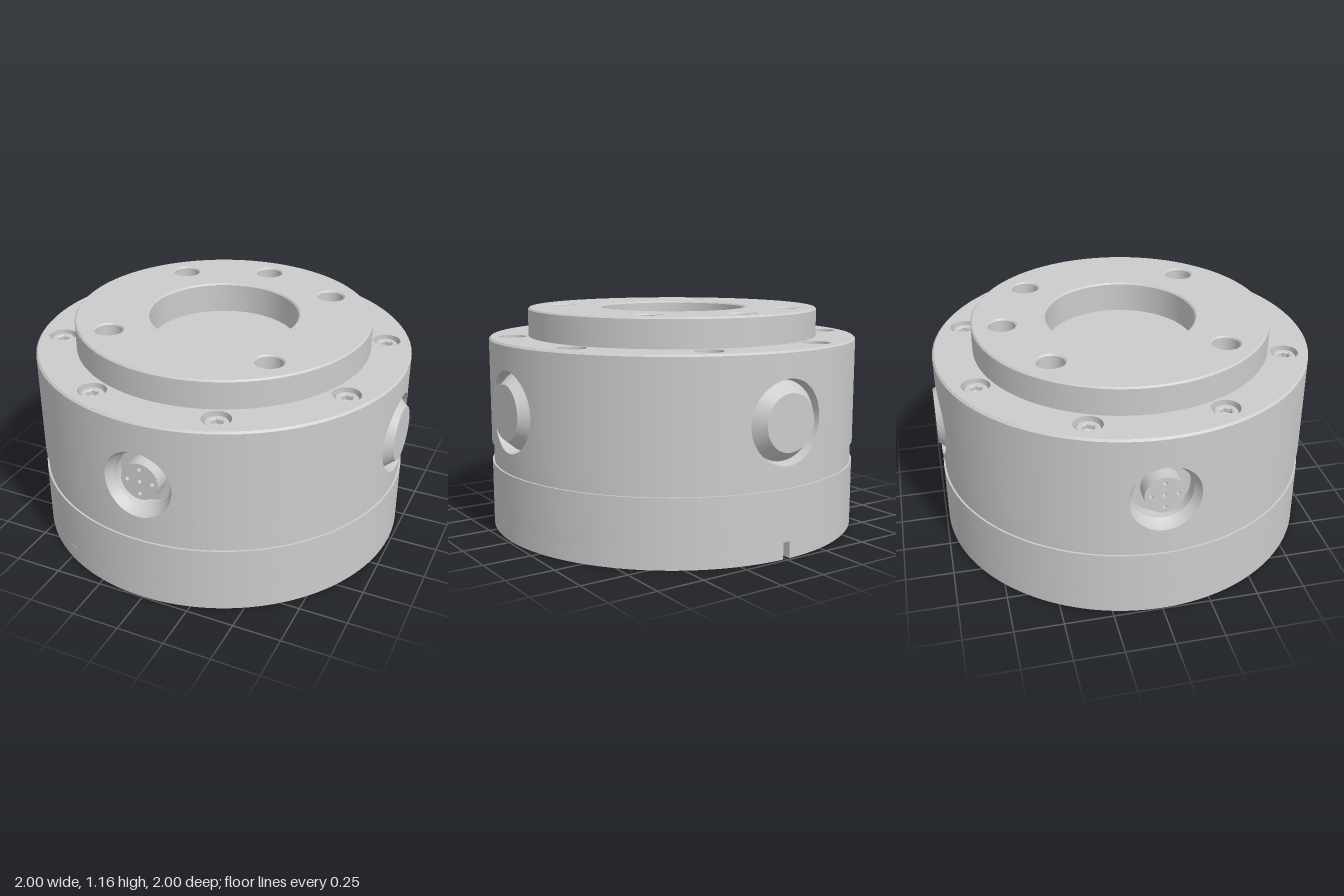
import * as THREE from 'three';
import { toCreasedNormals } from 'three/addons/utils/BufferGeometryUtils.js';

const R = 0.99, WALL_LOW = 0.455, WALL_TOP = 1.005, PORT_Y = 0.672, PATCH = 0.3;
const material = new THREE.MeshStandardMaterial({ color: 0xcccccc });

function mesh(name, geometry, crease = 0.4) {
  const m = new THREE.Mesh(toCreasedNormals(geometry, crease), material);
  m.name = name;
  return m;
}

function lathe(points, segments = 96) {
  return new THREE.LatheGeometry(points.map(([r, y]) => new THREE.Vector2(r, y)), segments);
}

function circle(r, x = 0, y = 0, Type = THREE.Path) {
  return new Type().absarc(x, y, r, 0, Math.PI * 2, false);
}

// Extrude a flat outline upwards, from height y0 to y1
function slab(shape, y0, y1, bevel, curveSegments) {
  const g = new THREE.ExtrudeGeometry(shape, {
    depth: y1 - y0 - 2 * bevel, curveSegments, bevelEnabled: bevel > 0,
    bevelSize: bevel, bevelThickness: bevel, bevelSegments: 1,
  });
  return g.rotateX(-Math.PI / 2).translate(0, y0 + bevel, 0);
}

// Skin a surface over closed rows of points
function loft(rows) {
  const n = rows[0].length, index = [];
  for (let i = 0; i < rows.length - 1; i++) {
    for (let j = 0; j < n; j++) {
      const k = (j + 1) % n, a = i * n + j, b = i * n + k;
      index.push(a, b, a + n, b, b + n, a + n);
    }
  }
  const g = new THREE.BufferGeometry();
  g.setAttribute('position', new THREE.Float32BufferAttribute(rows.flat(2), 3));
  g.setIndex(index);
  return g;
}

// Piece of curved wall with a round bore; profile lists [radius, z] down the bore
function portWall(holeR, profile) {
  const up = WALL_TOP - PORT_Y, down = WALL_LOW - PORT_Y;
  const angles = Array.from({ length: 64 }, (_, i) => -Math.PI + (i * Math.PI) / 32);
  for (const u of [-PATCH, PATCH]) for (const v of [up, down]) angles.push(Math.atan2(v, u * R));
  angles.sort((a, b) => a - b);
  const rows = [], steps = 6;
  for (let i = 0; i <= steps; i++) {
    rows.push(angles.map((a) => {
      const c = Math.cos(a), s = Math.sin(a), t = i / steps;
      const reach = Math.min((PATCH * R) / Math.max(Math.abs(c), 1e-6),
        (s > 0 ? up : -down) / Math.max(Math.abs(s), 1e-6));
      const theta = THREE.MathUtils.lerp((reach * c) / R, Math.asin((holeR * c) / R), t);
      const y = THREE.MathUtils.lerp(reach * s, holeR * s, t);
      return [R * Math.sin(theta), PORT_Y + y, R * Math.cos(theta)];
    }));
  }
  for (const [r, z] of profile) {
    rows.push(angles.map((a) => [r * Math.cos(a), PORT_Y + r * Math.sin(a), z]));
  }
  return loft(rows);
}

function connectorPort() {
  const g = new THREE.Group();
  g.name = 'connectorPort';
  g.add(mesh('connectorBore', portWall(0.18, [[0.167, 0.95], [0.15, 0.93], [0.15, 0.87], [0.08, 0.87]])));
  // Round insert with five contact holes
  const face = circle(0.1, 0, 0, THREE.Shape);
  face.holes.push(circle(0.011));
  for (let i = 0; i < 4; i++) {
    face.holes.push(circle(0.011, 0.067 * Math.cos(i * Math.PI / 2), 0.067 * Math.sin(i * Math.PI / 2)));
  }
  const insert = new THREE.ExtrudeGeometry(face, { depth: 0.095, bevelEnabled: false, curveSegments: 32 });
  g.add(mesh('connectorInsert', insert.translate(0, PORT_Y, 0.86)));
  const back = new THREE.CircleGeometry(0.09, 32).translate(0, PORT_Y, 0.9);
  g.add(mesh('contactFloor', back));
  return g;
}

function buttonPort() {
  const g = new THREE.Group();
  g.name = 'buttonPort';
  g.add(mesh('buttonBore', portWall(0.21, [[0.2, 0.925], [0.1, 0.925]])));
  const cap = lathe([[0.195, 0.92], [0.195, 0.94], [0.15, 0.995], [0.143, 1.005], [0, 1.005]], 48);
  g.add(mesh('buttonCap', cap.rotateX(Math.PI / 2).translate(0, PORT_Y, 0)));
  return g;
}

export function createModel() {
  const group = new THREE.Group();
  group.name = 'flangeHousing';

  // Base rim with a small slot at the back
  const gap = 0.02, rim = new THREE.Shape();
  rim.absarc(0, 0, R, Math.PI / 2 + gap, Math.PI * 2.5 - gap, false);
  rim.absarc(0, 0, 0.94, Math.PI * 2.5 - gap, Math.PI / 2 + gap, true);
  group.add(mesh('baseRim', slab(rim, 0, 0.085, 0, 96)));

  // Base and the shallow groove above it
  group.add(mesh('base', lathe([[0, 0.085], [R, 0.085], [R, 0.35], [0.98, 0.35],
    [0.98, WALL_LOW], [R, WALL_LOW]])));

  // Upper wall: four ports joined by plain curved panels
  for (let i = 0; i < 4; i++) {
    const port = i === 0 || i === 3 ? connectorPort() : buttonPort();
    port.rotation.y = (i * Math.PI) / 2;
    group.add(port);
    const panel = new THREE.CylinderGeometry(R, R, WALL_TOP - WALL_LOW, 20, 1, true,
      (i * Math.PI) / 2 + PATCH, Math.PI / 2 - 2 * PATCH);
    group.add(mesh('wallPanel', panel.translate(0, (WALL_TOP + WALL_LOW) / 2, 0)));
  }
  group.add(mesh('topChamfer', lathe([[R, WALL_TOP], [0.98, 1.015]])));

  // Shoulder ring with counterbored screws
  const shoulder = circle(0.98, 0, 0, THREE.Shape);
  shoulder.holes.push(circle(0.74));
  for (let i = 0; i < 8; i++) {
    const a = ((i + 0.5) * Math.PI) / 4, x = 0.865 * Math.cos(a), y = 0.865 * Math.sin(a);
    shoulder.holes.push(circle(0.072, x, y));
    const screw = new THREE.Group();
    screw.name = 'screw';
    const head = circle(0.053, 0, 0, THREE.Shape), hex = new THREE.Path();
    for (let k = 0; k < 6; k++) {
      const b = (k * Math.PI) / 3;
      hex[k ? 'lineTo' : 'moveTo'](0.038 * Math.cos(b), 0.038 * Math.sin(b));
    }
    hex.closePath();
    head.holes.push(hex);
    screw.add(mesh('screwHead', slab(head, 0.95, 1.0, 0.006, 16)));
    screw.add(mesh('socketFloor', lathe([[0.05, 0.975], [0.035, 0.975], [0, 0.96]], 24)));
    screw.add(mesh('counterboreFloor', lathe([[0.075, 0.965], [0.045, 0.965]], 24)));
    screw.position.set(x, 0, -y);
    group.add(screw);
  }
  group.add(mesh('shoulder', slab(shoulder, 0.95, 1.015, 0, 64)));

  // Raised mounting plate with centre bore and five drilled holes
  const plate = circle(0.772, 0, 0, THREE.Shape);
  plate.holes.push(circle(0.4));
  for (const degrees of [45, 90, 135, 225, 315]) {
    const a = THREE.MathUtils.degToRad(degrees), x = 0.622 * Math.cos(a), y = 0.622 * Math.sin(a);
    plate.holes.push(circle(0.078, x, y));
    const tip = mesh('drillTip', lathe([[0.08, 1.01], [0, 0.965]], 32));
    tip.position.set(x, 0, -y);
    group.add(tip);
  }
  group.add(mesh('mountingPlate', slab(plate, 0.98, 1.165, 0.008, 64)));
  group.add(mesh('boreFloor', lathe([[0.41, 1.0], [0, 1.0]])));

  group.position.set(-0.005, 0, 0.005);
  const root = new THREE.Group();
  root.name = 'model';
  root.add(group);
  return root;
}
